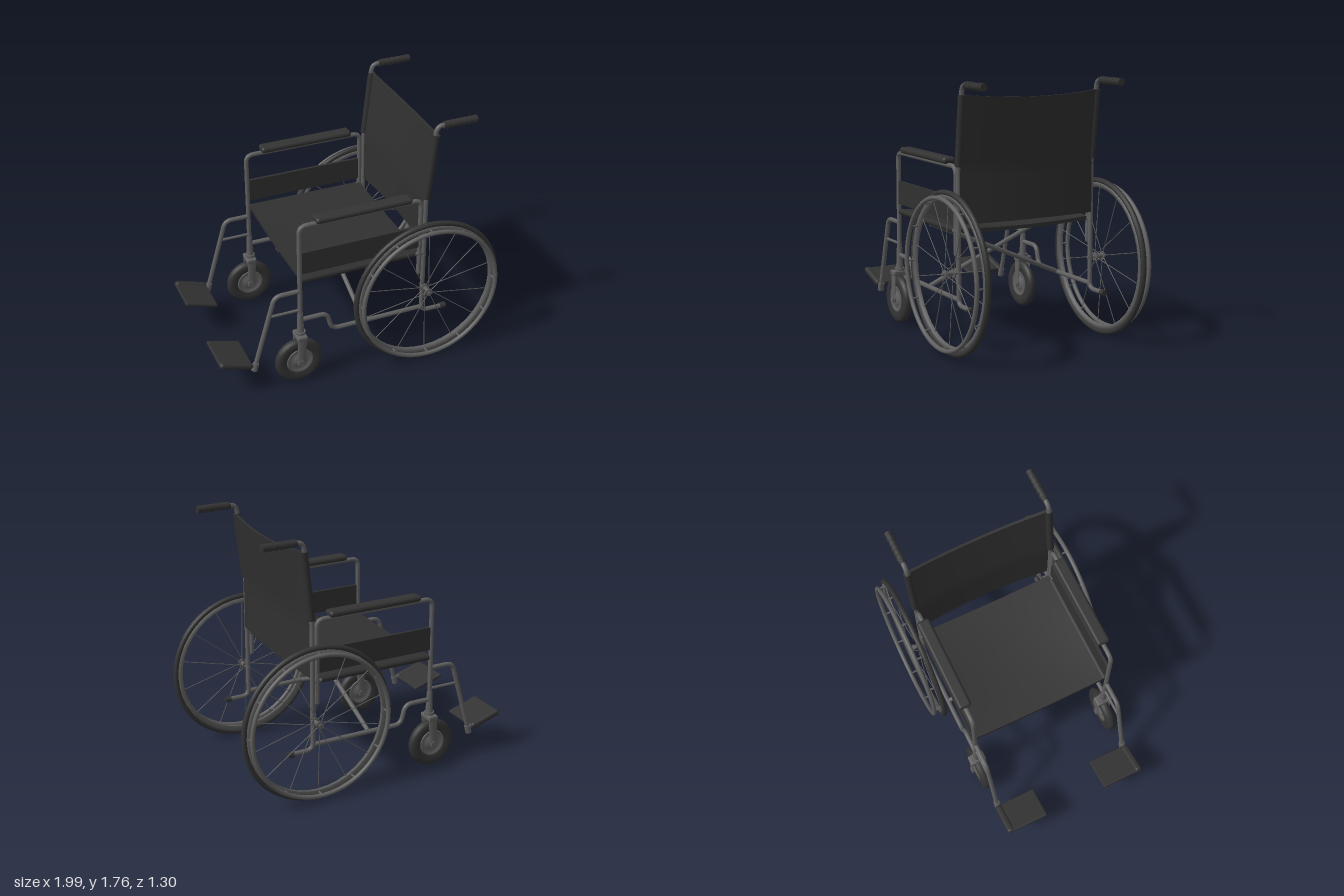
import * as THREE from 'three';
import { RoundedBoxGeometry } from 'three/addons/geometries/RoundedBoxGeometry.js';

const mat = (name, color) => {
  const m = new THREE.MeshStandardMaterial({ color });
  m.name = name;
  return m;
};
const V = (x, y, z) => new THREE.Vector3(x, y, z);

export function createModel() {
  const root = new THREE.Group();
  root.name = 'wheelchair';
  const metal = mat('frameGrey', 0x5e5e5e);
  const fabric = mat('darkFabric', 0x303030);
  const rubber = mat('blackRubber', 0x333333);

  const add = (parent, name, geometry, material, x = 0, y = 0, z = 0) => {
    const mesh = new THREE.Mesh(geometry, material);
    mesh.name = name;
    mesh.position.set(x, y, z);
    parent.add(mesh);
    return mesh;
  };

  // straight round bar between two points
  const bar = (parent, name, a, b, r, material, r2 = r, sides = 14) => {
    const d = b.clone().sub(a);
    const m = add(parent, name, new THREE.CylinderGeometry(r2, r, d.length(), sides), material);
    m.position.copy(a).add(b).multiplyScalar(0.5);
    m.quaternion.setFromUnitVectors(V(0, 1, 0), d.normalize());
    return m;
  };

  // bent pipe in a plane of constant z, with rounded corners and closed ends
  const pipe = (parent, name, pts, z, r = 0.016, bend = 0.05) => {
    const p = pts.map(([x, y]) => V(x, y, z));
    const path = new THREE.CurvePath();
    let from = p[0];
    for (let i = 1; i < p.length - 1; i++) {
      const cut = (q) => p[i].clone().add(q.clone().sub(p[i]).setLength(Math.min(bend, q.distanceTo(p[i]) * 0.49)));
      const a = cut(p[i - 1]), b = cut(p[i + 1]);
      path.add(new THREE.LineCurve3(from, a));
      path.add(new THREE.QuadraticBezierCurve3(a, p[i], b));
      from = b;
    }
    path.add(new THREE.LineCurve3(from, p[p.length - 1]));
    add(parent, name, new THREE.TubeGeometry(path, 90, r, 12, false), metal);
    for (const e of [p[0], p[p.length - 1]]) add(parent, name + 'End', new THREE.SphereGeometry(r, 12, 8), metal, e.x, e.y, e.z);
  };

  // turned part whose axis runs along z; profile is [radius, z]
  const turned = (parent, name, profile, material, x, y, z) => {
    const g = new THREE.LatheGeometry(profile.map(([r, h]) => new THREE.Vector2(r, h)), 40);
    g.rotateX(Math.PI / 2);
    return add(parent, name, g, material, x, y, z);
  };

  const uprightX = (y) => 0.463 + Math.max(0, y - 1.2) * 0.11;

  // sagging seat
  const seat = new THREE.BoxGeometry(0.85, 0.024, 0.98, 8, 1, 20);
  const sp = seat.attributes.position;
  for (let i = 0; i < sp.count; i++) {
    const u = sp.getZ(i) / 0.49, w = sp.getX(i) / 0.425;
    sp.setY(i, sp.getY(i) - 0.028 * (1 - u * u) * (1 - 0.4 * w * w));
  }
  seat.computeVertexNormals();
  add(root, 'seat', seat, fabric, 0.01, 0.806, 0);

  // backrest bowed to the rear, with a dipped top edge
  const back = new THREE.BoxGeometry(0.018, 0.825, 0.99, 1, 14, 20);
  const bp = back.attributes.position;
  for (let i = 0; i < bp.count; i++) {
    const u = bp.getZ(i) / 0.495, y = bp.getY(i) + 1.2625, t = (y - 0.85) / 0.825;
    const bow = 1 - u * u;
    bp.setXYZ(i, bp.getX(i) + uprightX(y) + 0.006 + 0.03 * bow, y - 0.026 * bow * t ** 4, bp.getZ(i));
  }
  back.computeVertexNormals();
  add(root, 'backrest', back, fabric);

  // folding cross brace
  for (const s of [1, -1]) {
    bar(root, 'crossBrace', V(0.04 + s * 0.008, 0.79, s * 0.49), V(0.04 + s * 0.008, 0.365, -s * 0.49), 0.016, metal);
  }

  for (const s of [1, -1]) {
    const side = new THREE.Group();
    side.name = s > 0 ? 'leftSide' : 'rightSide';
    root.add(side);
    const z = 0.5 * s;

    // side frame
    pipe(side, 'armrestFrame', [[-0.425, 0.4], [-0.425, 1.215], [0.43, 1.215], [0.43, 0.65]], z);
    pipe(side, 'backUpright', [[0.62, 0.325], [0.463, 0.325], [0.463, 1.2], [0.517, 1.735], [0.6, 1.738]], z);
    pipe(side, 'lowerRail', [[-0.42, 0.495], [-0.235, 0.495], [-0.2, 0.36], [0.46, 0.36]], z);
    bar(side, 'seatRail', V(-0.41, 0.802, z * 0.98), V(0.4, 0.802, z * 0.98), 0.021, fabric);
    bar(side, 'seatRailEnd', V(0.4, 0.802, z), V(0.46, 0.802, z), 0.014, metal);
    bar(side, 'tippingTip', V(0.605, 0.325, z), V(0.645, 0.325, z), 0.021, rubber);
    bar(side, 'backSleeve', V(uprightX(1.22), 1.22, z), V(uprightX(1.68), 1.675, z), 0.025, fabric);

    // arm pad and skirt panel
    add(side, 'armPad', new RoundedBoxGeometry(0.67, 0.042, 0.09, 4, 0.02), rubber, 0.015, 1.245, z);
    add(side, 'sidePanel', new THREE.BoxGeometry(0.83, 0.16, 0.02), fabric, 0.004, 0.938, z);

    // ribbed push grip
    bar(side, 'pushGrip', V(0.565, 1.737, z), V(0.8, 1.737, z), 0.023, rubber);
    for (let i = 0; i < 6; i++) {
      const x = 0.585 + i * 0.038;
      bar(side, 'gripRib', V(x, 1.737, z), V(x + 0.022, 1.737, z), 0.026, rubber);
    }

    // leg rest and footplate
    pipe(side, 'legRest', [[-0.43, 0.725], [-0.6, 0.725], [-0.75, 0.2]], z);
    bar(side, 'legRestBrace', V(-0.63, 0.575, z), V(-0.43, 0.575, z), 0.01, metal);
    bar(side, 'footPivot', V(-0.742, 0.23, z), V(-0.756, 0.175, z), 0.022, metal);
    const foot = new THREE.Group();
    foot.name = 'footrest';
    foot.position.set(-0.882, 0.252, 0);
    foot.rotation.z = -0.3;
    side.add(foot);
    add(foot, 'footplate', new RoundedBoxGeometry(0.235, 0.024, 0.27, 2, 0.008), rubber, 0, 0, s * 0.36);
    add(foot, 'footplateHinge', new RoundedBoxGeometry(0.235, 0.044, 0.05, 4, 0.02), rubber, 0, 0, s * 0.502);
    bar(foot, 'footplatePin', V(0.11, 0, z), V(0.145, 0, z), 0.014, metal);

    // caster
    const cx = -0.44, cy = 0.177;
    bar(side, 'casterStem', V(-0.425, 0.39, z), V(-0.425, 0.55, z), 0.026, metal, 0.019);
    bar(side, 'casterCollar', V(-0.425, 0.385, z), V(-0.425, 0.405, z), 0.035, metal);
    add(side, 'forkCrown', new RoundedBoxGeometry(0.072, 0.035, 0.115, 3, 0.01), metal, -0.428, 0.37, z);
    for (const f of [1, -1]) {
      const blade = new THREE.CylinderGeometry(0.034, 0.024, 0.22, 14);
      blade.scale(1, 1, 0.25);
      add(side, 'forkBlade', blade, metal, -0.433, 0.265, z + f * 0.046).rotation.z = -0.06;
      bar(side, 'casterNut', V(cx, cy, z + f * 0.03), V(cx, cy, z + f * 0.057), 0.022, metal);
    }
    turned(side, 'casterTyre', [[0.09, -0.024], [0.115, -0.031], [0.145, -0.031], [0.162, -0.018], [0.168, 0],
      [0.162, 0.018], [0.145, 0.031], [0.115, 0.031], [0.09, 0.024]], rubber, cx, cy, z);
    turned(side, 'casterHub', [[0, -0.034], [0.04, -0.034], [0.045, -0.018], [0.075, -0.018], [0.08, -0.027], [0.094, -0.026],
      [0.094, 0.026], [0.08, 0.027], [0.075, 0.018], [0.045, 0.018], [0.04, 0.034], [0, 0.034]], metal, cx, cy, z);

    // rear wheel
    const wheel = new THREE.Group();
    wheel.name = 'rearWheel';
    wheel.position.set(0.463, 0.54, s * 0.57);
    side.add(wheel);
    add(wheel, 'tyre', new THREE.TorusGeometry(0.516, 0.019, 12, 80), rubber);
    turned(wheel, 'rim', [[0.472, -0.012], [0.505, -0.016], [0.505, 0.016], [0.472, 0.012], [0.472, -0.012]], metal, 0, 0, 0);
    add(wheel, 'handRim', new THREE.TorusGeometry(0.488, 0.015, 12, 80), metal, 0, 0, s * 0.063);
    for (let i = 0; i < 12; i++) {
      const a = i * Math.PI / 6, x = 0.485 * Math.cos(a), y = 0.485 * Math.sin(a);
      bar(wheel, 'handRimPeg', V(x, y, 0), V(x, y, s * 0.06), 0.007, metal, 0.007, 8);
    }
    bar(wheel, 'hub', V(0, 0, -0.04), V(0, 0, 0.04), 0.016, metal);
    for (const f of [1, -1]) bar(wheel, 'hubFlange', V(0, 0, f * 0.026), V(0, 0, f * 0.036), 0.028, metal);
    bar(wheel, 'axle', V(0, 0, -s * 0.09), V(0, 0, s * 0.05), 0.011, metal);
    for (let i = 0; i < 14; i++) {
      const a = (i + 0.5) * Math.PI / 7, c = Math.cos(a), d = Math.sin(a);
      bar(wheel, 'spoke', V(0.02 * c, 0.02 * d, i % 2 ? 0.03 : -0.03), V(0.476 * c, 0.476 * d, 0), 0.003, metal, 0.003, 6);
    }
  }
  return root;
}
